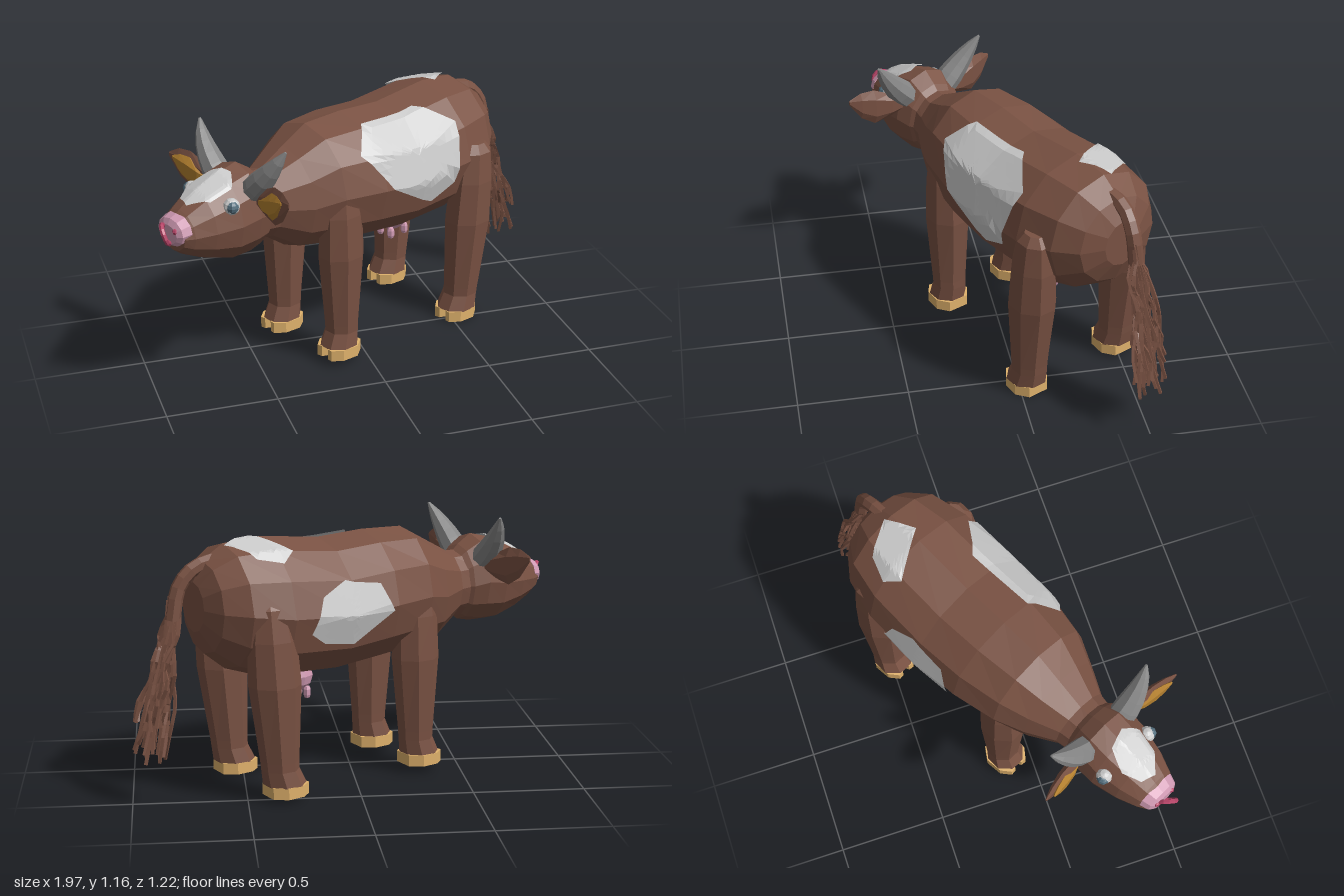
import * as THREE from 'three';

const V = (x, y, z) => new THREE.Vector3(x, y, z);
const mat = (color) => new THREE.MeshStandardMaterial({ color, flatShading: true, side: THREE.DoubleSide });
const brown = mat(0x7a5243), white = mat(0xcccccc), pink = mat(0xd19bb4), rose = mat(0xb84468);
const hornGrey = mat(0x858585), hoofTan = mat(0xe0b26c), earGold = mat(0xb5812f), eyeBlue = mat(0x55707f);

function add(parent, name, geometry, material) {
  const mesh = new THREE.Mesh(geometry, material);
  mesh.name = name;
  parent.add(mesh);
  return mesh;
}

// Skin a list of equal-length rings and cap both ends, facing outward.
function loft(rings) {
  const n = rings[0].length, tris = [];
  const tri = (a, b, c) => tris.push([a, b, c]);
  for (let i = 0; i + 1 < rings.length; i++) {
    for (let k = 0; k < n; k++) {
      const m = (k + 1) % n, A = rings[i], B = rings[i + 1];
      tri(A[k], A[m], B[m]);
      tri(A[k], B[m], B[k]);
    }
  }
  const first = rings[0], last = rings[rings.length - 1];
  for (let k = 1; k + 1 < n; k++) {
    tri(first[0], first[k + 1], first[k]);
    tri(last[0], last[k], last[k + 1]);
  }
  let volume = 0;
  for (const [a, b, c] of tris) volume += a.dot(b.clone().cross(c));
  if (volume < 0) tris.forEach((t) => t.reverse());
  const g = new THREE.BufferGeometry().setFromPoints(tris.flat());
  g.computeVertexNormals();
  return g;
}

// Upright sections [x, top, bottom, half width], 12-sided, from front to back.
const SIDES = 12;
const bodySections = [
  [-0.62, 0.97, 0.66, 0.125], [-0.5, 0.97, 0.65, 0.145], [-0.37, 1.04, 0.56, 0.215], [-0.24, 1.11, 0.54, 0.275],
  [-0.03, 1.115, 0.52, 0.318], [0.2, 1.1, 0.495, 0.33], [0.5, 1.13, 0.5, 0.325], [0.68, 1.115, 0.56, 0.28],
  [0.78, 1.05, 0.64, 0.2], [0.825, 0.96, 0.74, 0.1],
];
const headSections = [
  [-0.99, 0.88, 0.735, 0.085], [-0.95, 0.91, 0.705, 0.108], [-0.86, 0.965, 0.66, 0.143], [-0.74, 1.015, 0.62, 0.17],
  [-0.64, 1.04, 0.62, 0.172], [-0.57, 0.995, 0.635, 0.148], [-0.5, 0.93, 0.69, 0.1],
];
const point = ([x, top, bot, w], a, out = 0) =>
  V(x, (top + bot) / 2 + ((top - bot) / 2 + out) * Math.cos(a), (w + out) * Math.sin(a));
const ring = (s) => Array.from({ length: SIDES }, (_, k) => point(s, (k / SIDES) * Math.PI * 2));

// Point on the faceted skin at (x, angle from the spine), lifted slightly.
function onSkin(sections, x, a) {
  let i = 0;
  while (i < sections.length - 2 && x > sections[i + 1][0]) i++;
  const p = sections[i], q = sections[i + 1], t = (x - p[0]) / (q[0] - p[0]);
  const s = p.map((v, k) => v + (q[k] - v) * t);
  const step = (Math.PI * 2) / SIDES, k = Math.floor(a / step);
  return point(s, k * step, 0.012).lerp(point(s, (k + 1) * step, 0.012), a / step - k);
}

// Patch of colour following the skin inside an outline of [x, angle].
function patch(sections, outline) {
  const cx = outline.reduce((s, p) => s + p[0], 0) / outline.length;
  const ca = outline.reduce((s, p) => s + p[1], 0) / outline.length;
  const edge = [], SUB = 4, RINGS = 6;
  outline.forEach((p, i) => {
    const q = outline[(i + 1) % outline.length];
    for (let j = 0; j < SUB; j++) edge.push([p[0] + ((q[0] - p[0]) * j) / SUB, p[1] + ((q[1] - p[1]) * j) / SUB]);
  });
  const at = (r, k) => {
    const e = edge[k % edge.length], f = r / RINGS;
    return onSkin(sections, cx + (e[0] - cx) * f, ca + (e[1] - ca) * f);
  };
  const pts = [];
  for (let r = 0; r < RINGS; r++) {
    for (let k = 0; k < edge.length; k++) {
      pts.push(at(r, k), at(r + 1, k), at(r + 1, k + 1));
      if (r) pts.push(at(r, k), at(r + 1, k + 1), at(r, k + 1));
    }
  }
  const a = pts[0], n = pts[1].clone().sub(a).cross(pts[2].clone().sub(a));
  if (n.dot(V(0, a.y - 0.8, a.z)) < 0) pts.reverse();
  const g = new THREE.BufferGeometry().setFromPoints(pts);
  g.computeVertexNormals();
  return g;
}

// Leg with a flared foot and a cloven hoof; toes point to -x.
function leg(name, x, z, y, leanX, leanZ, k) {
  const g = new THREE.Group();
  g.name = name;
  const rows = [
    [0.88, 0.05, 0.04], [0.84, 0.085, 0.07], [0.7, 0.105, 0.09], [0.5, 0.112, 0.1], [0.16, 0.082, 0.08], [0.12, 0.08, 0.078], [0.05, 0.092, 0.088],
  ];
  const rings = rows.map(([h, rx, rz], i) => Array.from({ length: 8 }, (_, j) => {
    const a = ((j + 0.5) / 8) * Math.PI * 2, up = h / 0.88;
    return V(leanX * up - (i === 6 ? 0.018 : 0) + rx * k * Math.cos(a), h, leanZ * up + rz * k * Math.sin(a));
  }));
  add(g, 'shank', loft(rings), brown);
  const half = [[0.07, 0.05], [0.015, 0.089], [-0.065, 0.082], [-0.11, 0.046], [-0.107, 0.02]];
  const outline = [...half, [-0.065, 0], ...half.slice().reverse().map(([a, b]) => [a, -b])];
  const shape = new THREE.Shape(outline.map(([a, b]) => new THREE.Vector2(a, b)));
  const hoof = add(g, 'hoof', new THREE.ExtrudeGeometry(shape, { depth: 0.052, bevelEnabled: false }), hoofTan);
  hoof.rotation.x = -Math.PI / 2;
  g.position.set(x, y, z);
  return g;
}

// Horn: circles shrinking along a gentle curve.
function horn(s) {
  const curve = new THREE.QuadraticBezierCurve3(V(-0.64, 0.93, s * 0.1), V(-0.645, 1.03, s * 0.215), V(-0.6, 1.152, s * 0.285));
  const f = curve.computeFrenetFrames(5);
  return loft([0.06, 0.06, 0.053, 0.042, 0.027, 0.006].map((r, i) => Array.from({ length: 8 }, (_, k) => {
    const a = (k / 8) * Math.PI * 2;
    return curve.getPointAt(i / 5).addScaledVector(f.normals[i], r * Math.cos(a)).addScaledVector(f.binormals[i], r * Math.sin(a));
  })));
}

// Leaf-shaped ear growing sideways, [distance, height centre, half height, half depth].
function ear(s, scale, forward) {
  const rows = [[0.14, 0.91, 0.025, 0.02], [0.2, 0.915, 0.06, 0.026], [0.28, 0.925, 0.088, 0.024], [0.345, 0.945, 0.066, 0.016], [0.4, 0.972, 0.012, 0.004]];
  return loft(rows.map(([d, y, h, w], i) => Array.from({ length: 6 }, (_, k) => {
    const a = (k / 6) * Math.PI * 2, dist = 0.265 + (d - 0.265) * scale;
    return V(-0.635 - i * 0.013 - forward + w * Math.sin(a), y + h * scale * Math.cos(a), s * dist);
  })));
}

export function createModel() {
  const root = new THREE.Group();
  root.name = 'cow';
  const cow = new THREE.Group();
  cow.name = 'turnedCow';
  cow.rotation.y = 0.454;
  cow.position.set(-0.023, 0, -0.048);
  root.add(cow);

  // Body, head and coat patches
  add(cow, 'body', loft(bodySections.map(ring)), brown);
  add(cow, 'head', loft(headSections.map(ring)), brown);
  add(cow, 'leftSidePatch', patch(bodySections,
    [[-0.13, 0.95], [-0.03, 0.45], [0.3, 0.4], [0.46, 0.9], [0.4, 1.8], [0.26, 1.97], [0, 1.55]]), white);
  add(cow, 'rightSidePatch', patch(bodySections,
    [[0.42, -1.8], [0.36, -1.28], [0.24, -1.05], [0.06, -1.18], [0, -1.62], [0.2, -2], [0.35, -1.95]]), white);
  add(cow, 'rumpPatch', patch(bodySections,
    [[0.43, -0.55], [0.5, -0.76], [0.61, -0.65], [0.69, -0.12], [0.555, 0.11]]), white);
  add(cow, 'foreheadPatch', patch(headSections,
    [[-0.91, -0.35], [-0.83, -0.55], [-0.73, -0.27], [-0.7, 0.25], [-0.75, 0.65], [-0.855, 0.65], [-0.93, 0.18]]), white);

  // Muzzle with nostrils and ring
  add(cow, 'muzzle', loft([[-0.96, 0.9, 0.76, 0.098], [-1.0, 0.885, 0.76, 0.085], [-1.015, 0.86, 0.775, 0.06]].map(ring)), pink);
  const noseRing = add(cow, 'noseRing', new THREE.TorusGeometry(0.043, 0.011, 6, 12), rose);
  noseRing.position.set(-1.028, 0.82, 0);
  noseRing.rotation.set(-0.5, 0.8, 0);

  // Paired head parts
  for (const s of [1, -1]) {
    const side = s > 0 ? 'left' : 'right';
    add(cow, side + 'Horn', horn(s), hornGrey);
    add(cow, side + 'Ear', ear(s, 1, 0), brown);
    add(cow, side + 'InnerEar', ear(s, 0.72, 0.012), earGold);
    const eye = add(cow, side + 'Eye', new THREE.SphereGeometry(0.037, 10, 6), white);
    eye.position.set(-0.775, 0.912, s * 0.132);
    const iris = add(cow, side + 'Iris', new THREE.SphereGeometry(0.028, 8, 6), eyeBlue);
    iris.position.set(-0.781, 0.914, s * 0.146);
    const nostril = add(cow, side + 'Nostril', new THREE.SphereGeometry(0.014, 6, 4), rose);
    nostril.position.set(-1.01, 0.84, s * 0.045);
  }

  // Legs
  cow.add(leg('leftFrontLeg', -0.195, 0.19, 0.03, -0.01, 0.005, 1), leg('rightFrontLeg', -0.21, -0.19, 0.035, 0.01, 0.005, 1));
  cow.add(leg('leftHindLeg', 0.515, 0.255, 0, 0.06, 0.025, 1.06), leg('rightHindLeg', 0.53, -0.235, 0.02, 0.05, 0.005, 1.06));

  // Udder and teats
  const udder = add(cow, 'udder', new THREE.SphereGeometry(0.09, 9, 6), pink);
  udder.position.set(0.34, 0.49, -0.025);
  udder.scale.set(1, 0.85, 0.8);
  for (const dx of [-0.045, 0.045]) for (const dz of [-0.035, 0.035]) {
    const teat = add(cow, 'teat', new THREE.CapsuleGeometry(0.018, 0.025, 2, 6), pink);
    teat.position.set(0.34 + dx, 0.412, -0.025 + dz);
  }

  // Tail and its long wavy hairs
  const tailPath = new THREE.CatmullRomCurve3([V(0.7, 1.05, 0), V(0.82, 1.02, 0), V(0.89, 0.94, 0.01), V(0.92, 0.8, 0.01)]);
  add(cow, 'tail', new THREE.TubeGeometry(tailPath, 8, 0.034, 7), brown);
  let seed = 7;
  const rnd = (r) => ((seed = (seed * 16807) % 2147483647) / 2147483647 - 0.5) * 2 * r;
  for (let i = 0; i < 34; i++) {
    const endX = 1.03 + rnd(0.06), endY = 0.28 + rnd(0.1), endZ = rnd(0.085);
    const pts = [V(0.91 + rnd(0.02), 0.86 + rnd(0.05), 0.01 + rnd(0.025))];
    for (let j = 1; j <= 5; j++) {
      const t = j / 5;
      pts.push(V(0.92 + (endX - 0.92) * t + rnd(0.018), 0.82 + (endY - 0.82) * t, 0.01 + endZ * Math.sqrt(t) + rnd(0.026)));
    }
    add(cow, 'tailHair', new THREE.TubeGeometry(new THREE.CatmullRomCurve3(pts), 12, 0.009, 4), brown);
  }
  return root;
}
